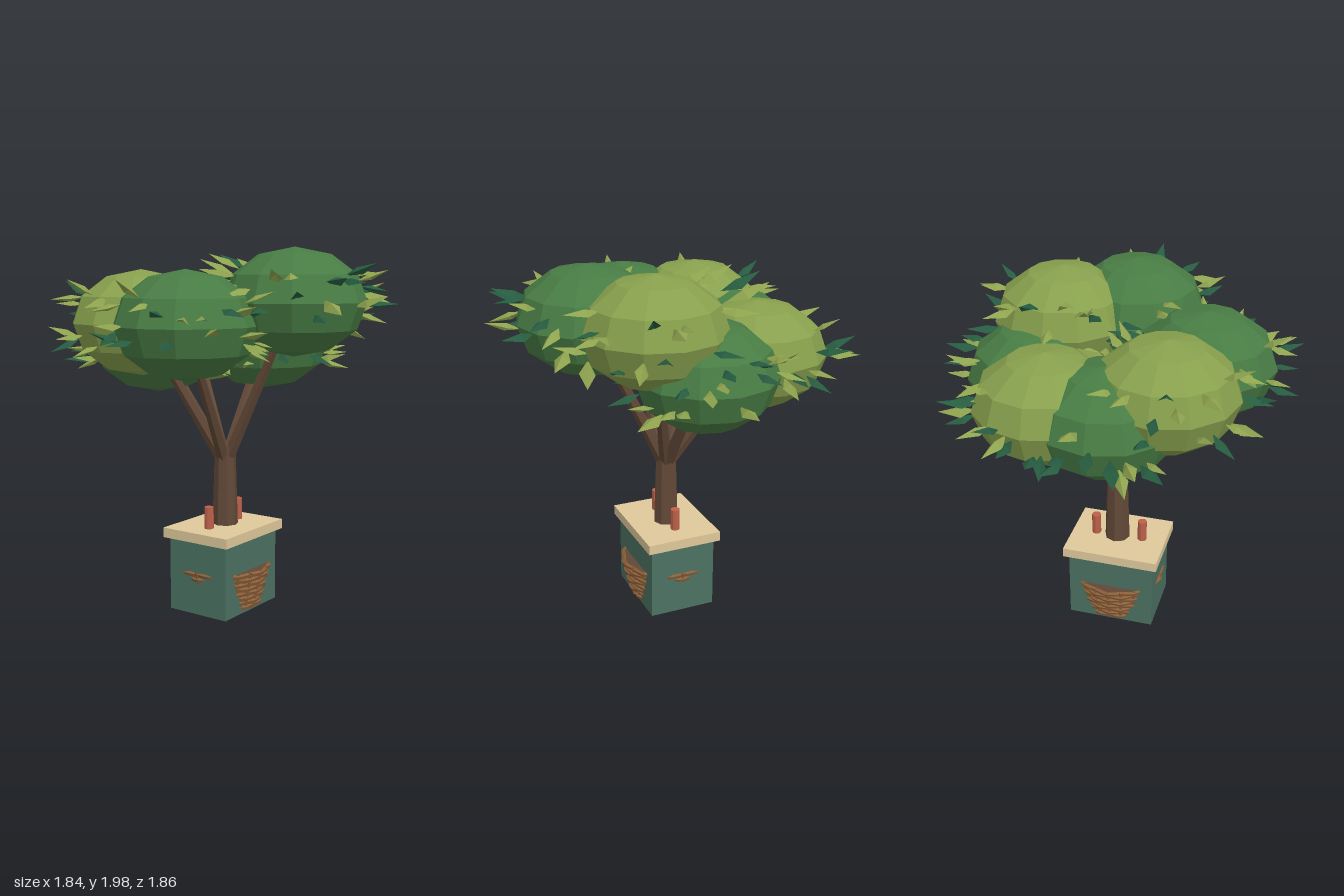
import * as THREE from 'three';

const mat = (name, color, extra = {}) => {
  const m = new THREE.MeshStandardMaterial({ color, flatShading: true, ...extra });
  m.name = name;
  return m;
};

export function createModel() {
  const bark = mat('bark', 0x614837);
  const teal = mat('teal paint', 0x4b7161);
  const tan = mat('tan stone', 0xdfc89b);
  const copper = mat('copper', 0xbc604a);
  const wicker = mat('wicker', 0x8a5e38);
  const darkGreen = mat('dark foliage', 0x487c44);
  const lightGreen = mat('light foliage', 0x87a04d);
  const leafDark = mat('dark leaf', 0x265c40, { side: THREE.DoubleSide });
  const leafLight = mat('light leaf', 0x8ea34e, { side: THREE.DoubleSide });

  const model = new THREE.Group();
  model.name = 'plantedTree';
  const add = (parent, name, geo, material, x = 0, y = 0, z = 0) => {
    const m = new THREE.Mesh(geo, material);
    m.name = name;
    m.position.set(x, y, z);
    parent.add(m);
    return m;
  };
  let seed = 41;
  const rand = () => {
    seed = (seed * 16807) % 2147483647;
    return seed / 2147483647;
  };
  const cx = -0.022, cz = -0.003; // centre line of the planter

  // Planter box, lid and copper pipes
  add(model, 'planterBox', new THREE.BoxGeometry(0.475, 0.4, 0.365), teal, cx, 0.25, cz);
  add(model, 'planterLid', new THREE.BoxGeometry(0.528, 0.053, 0.416), tan, cx, 0.4755, cz);
  const pipe = (name, x, y0, y1) =>
    add(model, name, new THREE.CylinderGeometry(0.025, 0.025, y1 - y0, 10), copper, x, (y0 + y1) / 2, cz);
  pipe('leftPipe', 0.109, 0.49, 0.62);
  pipe('rightPipe', -0.155, 0.49, 0.62);
  pipe('drainPipe', cx, 0, 0.1);

  // Round woven basket that runs through the box walls
  const basket = new THREE.Group();
  basket.name = 'wovenBasket';
  basket.position.set(cx, 0, cz);
  model.add(basket);
  const stakes = 20, rows = 8;
  const radiusAt = (y) => 0.192 + 0.05 * (y - 0.07) / 0.21;
  for (let i = 0; i < rows; i++) {
    const y = 0.08 + i * 0.027, pts = [];
    for (let k = 0; k < stakes * 2; k++) {
      const a = k * Math.PI / stakes;
      // strands pass in front of and behind alternate stakes
      const r = radiusAt(y) + (k % 2 ? 0 : ((k / 2 + i) % 2 ? 0.006 : -0.006));
      pts.push(new THREE.Vector3(Math.sin(a) * r, y, Math.cos(a) * r));
    }
    const curve = new THREE.CatmullRomCurve3(pts, true);
    add(basket, 'basketStrand', new THREE.TubeGeometry(curve, 120, 0.0125, 5, true), wicker);
  }
  for (let k = 0; k < stakes; k++) {
    const a = k * 2 * Math.PI / stakes;
    const at = (y) => new THREE.Vector3(Math.sin(a) * radiusAt(y), y, Math.cos(a) * radiusAt(y));
    const line = new THREE.LineCurve3(at(0.065), at(0.285));
    add(basket, 'basketStake', new THREE.TubeGeometry(line, 1, 0.011, 5), wicker);
  }
  // Dark lining seen between the strands
  add(basket, 'basketLining', new THREE.CylinderGeometry(radiusAt(0.275), radiusAt(0.075), 0.2, 40), bark, 0, 0.175, 0);

  // Trunk, reaching down to the underside of the box
  add(model, 'trunk', new THREE.CylinderGeometry(0.056, 0.071, 0.47, 8), bark, -0.012, 0.705, 0);
  add(model, 'trunkBase', new THREE.CylinderGeometry(0.062, 0.062, 0.45, 8), bark, cx, 0.271, cz);

  // Leaf clusters: x, y, z, light or dark
  const clusters = [
    [0.0, 1.705, 0.42, false],
    [0.335, 1.705, 0.21, true],
    [0.405, 1.48, -0.03, false],
    [0.235, 1.5, -0.39, true],
    [-0.07, 1.48, -0.41, false],
    [-0.335, 1.595, -0.3, true],
    [-0.445, 1.595, 0.075, false],
  ];
  const R = 0.365, squash = 0.75;
  const up = new THREE.Vector3(0, 1, 0);

  // Slender folded leaf along +z with a raised ridge
  const leafGeo = new THREE.BufferGeometry();
  leafGeo.setAttribute('position', new THREE.Float32BufferAttribute([
    0, 0, 0, -0.2, -0.06, 0.42, 0, 0.1, 0.4, 0.2, -0.06, 0.42, 0, 0.02, 1,
  ], 3));
  leafGeo.setIndex([0, 2, 1, 0, 3, 2, 1, 2, 4, 2, 3, 4]);
  leafGeo.computeVertexNormals();

  const canopy = new THREE.Group();
  canopy.name = 'canopy';
  model.add(canopy);
  const addLeaf = (dark, pos, dir, size, roll) => {
    const leaf = add(canopy, 'leaf', leafGeo, dark ? leafDark : leafLight, pos.x, pos.y, pos.z);
    leaf.lookAt(pos.clone().add(dir));
    leaf.rotateZ(roll);
    leaf.scale.setScalar(size);
  };

  clusters.forEach(([x, y, z, light]) => {
    const center = new THREE.Vector3(x, y, z);
    const blob = add(canopy, 'leafCluster', new THREE.SphereGeometry(R, 12, 6), light ? lightGreen : darkGreen, x, y, z);
    blob.scale.y = squash;

    // Branch from the trunk into the cluster
    const start = new THREE.Vector3(-0.01 + x * 0.05, 0.87, z * 0.05);
    const end = start.clone().lerp(center, 0.8);
    const dir = end.clone().sub(start);
    const branch = add(model, 'branch', new THREE.CylinderGeometry(0.022, 0.036, dir.length(), 6), bark);
    branch.position.copy(start).addScaledVector(dir, 0.5);
    branch.quaternion.setFromUnitVectors(up, dir.normalize());

    // Loose leaves around the sides, skipping those buried in a neighbour
    for (let i = 0; i < 36; i++) {
      const a = (i + rand()) / 36 * Math.PI * 2;
      const e = -0.5 + rand() * 1.1;
      const n = new THREE.Vector3(Math.sin(a) * Math.cos(e), Math.sin(e), Math.cos(a) * Math.cos(e));
      const p = new THREE.Vector3(n.x, n.y * squash, n.z).multiplyScalar(R * 0.93).add(center);
      const dark = rand() < 0.35;
      const size = 0.15 + rand() * 0.05;
      const tilt = (rand() - 0.5) * 0.8;
      const roll = (rand() - 0.5) * 0.8;
      const buried = clusters.some(([bx, by, bz]) =>
        Math.hypot(p.x - bx, (p.y - by) / squash, p.z - bz) < R * 0.9);
      if (!buried) addLeaf(dark, p, new THREE.Vector3(n.x, n.y * 0.3 + tilt, n.z), size, roll);
    }
  });

  // Tuft where the clusters meet
  for (let i = 0; i < 9; i++) {
    const a = i * 2.4;
    const pos = new THREE.Vector3(Math.sin(a) * 0.03, 1.56 + rand() * 0.08, Math.cos(a) * 0.03 - 0.02);
    addLeaf(i % 4 === 0, pos, new THREE.Vector3(Math.sin(a), 0.6, Math.cos(a)), 0.18, 0);
  }
  // Tall leaves behind the two highest clusters
  [[0.1, 1.84, -0.02], [0.21, 1.87, -0.06], [0.36, 1.87, -0.12], [0.47, 1.85, -0.1]].forEach(([x, y, z], i) => {
    addLeaf(i === 2, new THREE.Vector3(x, y, z), new THREE.Vector3((i - 1.5) * 0.15, 0.4, -1), 0.22, 0.2);
  });
  return model;
}
